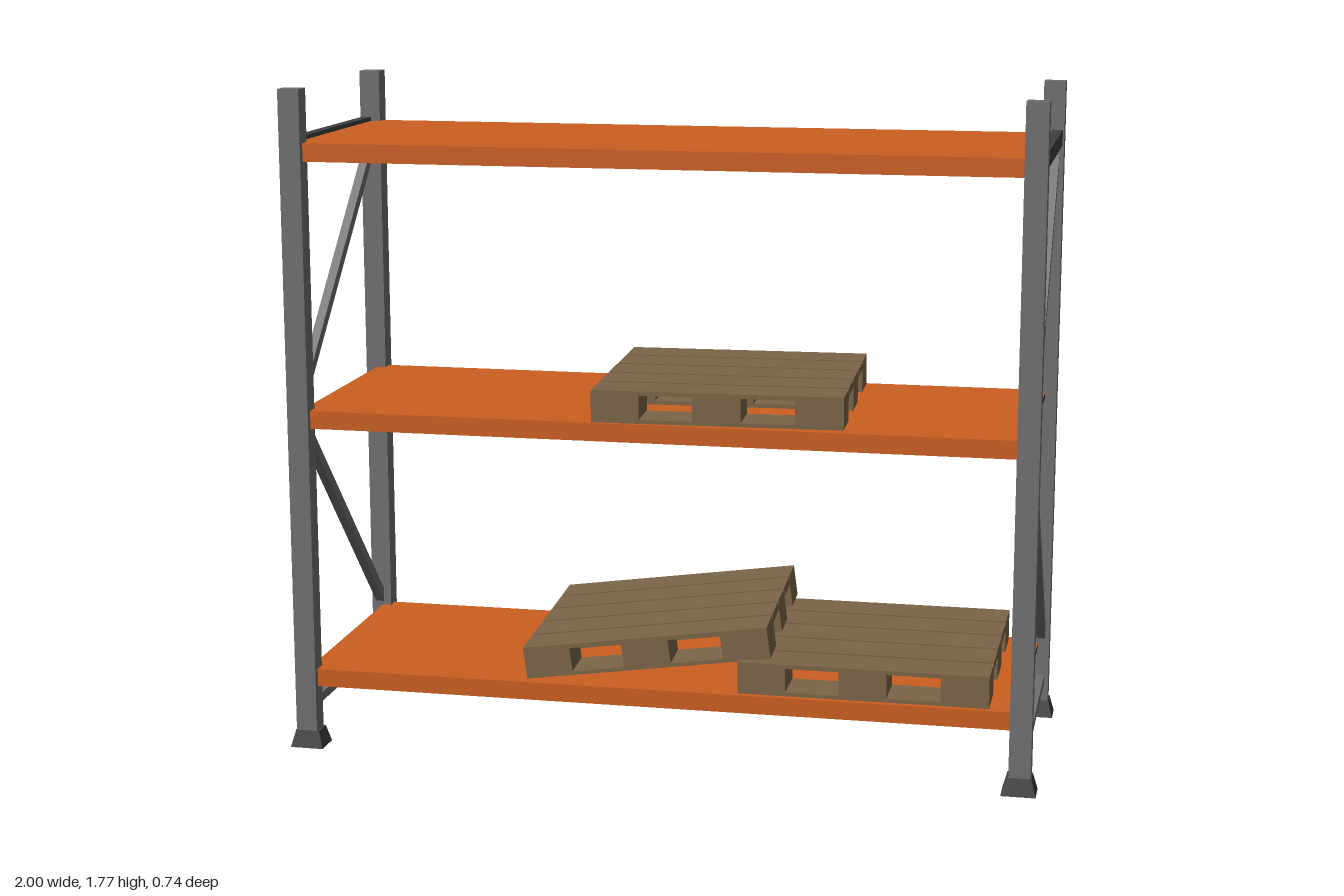
import * as THREE from 'three';

const mat = (name, color) => {
  const m = new THREE.MeshStandardMaterial({ color });
  m.name = name;
  return m;
};

export function createModel() {
  const steel = mat('steel grey', 0x707072);
  const dark = mat('dark grey', 0x404042);
  const orange = mat('shelf orange', 0xcc5f21);
  const black = mat('underside black', 0x1d1d1d);
  const wood = mat('pallet wood', 0x7c6548);

  const root = new THREE.Group();
  root.name = 'palletRack';

  const box = (parent, name, material, size, pos) => {
    const m = new THREE.Mesh(new THREE.BoxGeometry(...size), material);
    m.name = name;
    m.position.set(...pos);
    parent.add(m);
    return m;
  };

  const PX = 0.957, PZ = 0.331;

  // Square flared foot, 1 x 1 at the base
  const footGeo = new THREE.CylinderGeometry(0.72 * Math.SQRT1_2, Math.SQRT1_2, 1, 4).toNonIndexed();
  footGeo.rotateY(Math.PI / 4);
  footGeo.computeVertexNormals();

  // Diagonal strut between two (z, y) points
  const brace = (parent, x, z1, y1, z2, y2) => {
    const len = Math.hypot(z2 - z1, y2 - y1);
    const m = box(parent, 'brace', steel, [0.024, 0.028, len], [x, (y1 + y2) / 2, (z1 + z2) / 2]);
    m.rotation.x = -Math.atan2(y2 - y1, z2 - z1);
  };

  // End frames: posts, feet, braces and cross bars
  for (const sx of [-1, 1]) {
    const frame = new THREE.Group();
    frame.name = sx > 0 ? 'leftFrame' : 'rightFrame';
    root.add(frame);
    for (const sz of [-1, 1]) {
      box(frame, 'post', steel, [0.057, 1.765, 0.053], [sx * PX, 0.8875, sz * PZ]);
      const foot = new THREE.Mesh(footGeo, dark);
      foot.name = 'foot';
      foot.scale.set(0.09, 0.046, 0.077);
      foot.position.set(sx * 0.955, 0.023, sz * PZ);
      frame.add(foot);
    }
    const x = sx * 0.962;
    brace(frame, x, 0.315, 0.95, -0.315, 1.565);
    brace(frame, x, 0.315, 0.89, -0.315, 0.235);
    box(frame, 'bottomBar', steel, [0.024, 0.025, 0.63], [x, 0.107, 0]);
    box(frame, 'topBar', dark, [0.027, 0.042, 0.63], [sx * 0.968, 1.62, 0]);
  }

  // Shelves: orange sheet on a black panel, with front and back beams
  for (const top of [0.215, 0.924, 1.63]) {
    const shelf = new THREE.Group();
    shelf.name = 'shelf';
    shelf.position.y = top;
    root.add(shelf);
    box(shelf, 'deckSheet', orange, [1.908, 0.004, 0.678], [0, -0.002, 0]);
    box(shelf, 'deckPanel', black, [1.908, 0.011, 0.64], [0, -0.0095, 0]);
    for (const sz of [-1, 1])
      box(shelf, 'beam', orange, [1.9, 0.044, 0.02], [0, -0.026, sz * 0.329]);
  }

  // Pallet standing on its own y = 0, deck boards running along x
  const pallet = (name, x, y, z, yaw, tilt) => {
    const W = 0.655, D = 0.636, B = 0.125;
    const p = new THREE.Group();
    p.name = name;
    p.position.set(x, y, z);
    p.rotation.set(0, yaw, tilt);
    for (const i of [-1, 0, 1]) {
      const off = (W - B) / 2 * i;
      box(p, 'bottomBoard', wood, [W, 0.01, B], [0, 0.005, (D - B) / 2 * i]);
      box(p, 'stringer', wood, [B, 0.011, D], [off, 0.0685, 0]);
      for (const k of [-1, 0, 1])
        box(p, 'block', wood, [B, 0.053, B], [off, 0.0365, (D - B) / 2 * k]);
    }
    const board = 0.117;
    for (let i = -2; i <= 2; i++)
      box(p, 'deckBoard', wood, [W, 0.011, board], [0, 0.0795, (D - board) / 4 * i]);
    root.add(p);
  };
  pallet('middlePallet', 0.145, 0.924, 0, 0.042, 0);
  pallet('lowerPallet', 0.545, 0.215, 0.004, 0, 0);
  pallet('leaningPallet', -0.04, 0.262, -0.01, 0.047, 0.13);

  return root;
}
